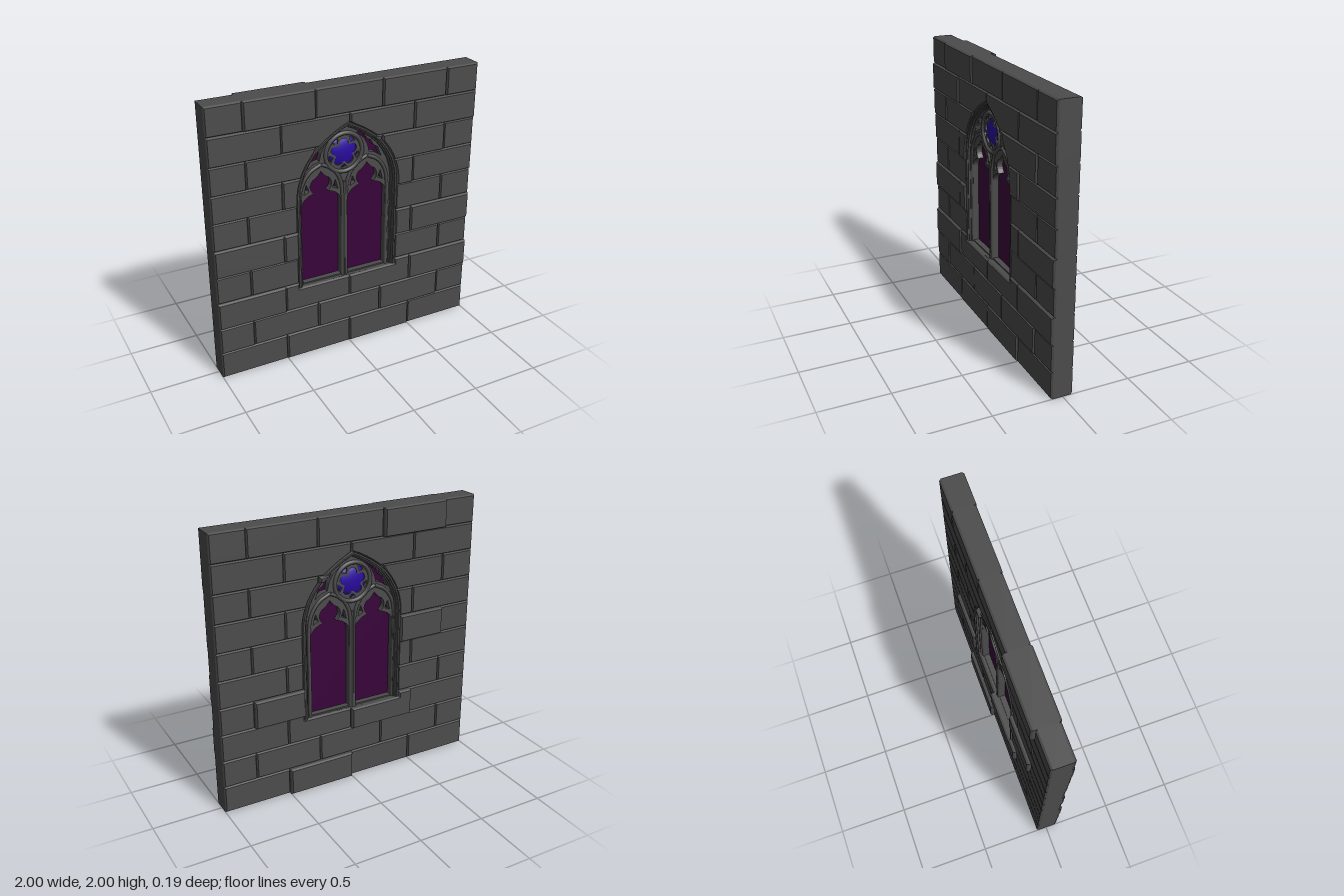
import * as THREE from 'three';

const CX = -0.01, SILL = 0.56, SPRING = 1.27, APEX = 1.735;
// half-width of the pointed arch at chosen heights
const ARCH = [[1.27, 0.385], [1.34, 0.375], [1.42, 0.35], [1.5, 0.306], [1.56, 0.26], [1.61, 0.206], [1.66, 0.138], [1.7, 0.07], [APEX, 0]];

function halfWidth(y) {
  if (y < SILL || y >= APEX) return 0;
  if (y <= SPRING) return ARCH[0][1];
  const i = ARCH.findIndex((p) => p[0] > y);
  const [y0, w0] = ARCH[i - 1], [y1, w1] = ARCH[i];
  return w0 + (w1 - w0) * (y - y0) / (y1 - y0);
}

// counter-clockwise outline of the arch, sill right -> apex -> sill left, shrunk by an inset
function archOutline(inset) {
  const kx = 1 - inset / 0.39, ky = 1 - inset / (APEX - SPRING);
  const right = ARCH.map(([y, w]) => new THREE.Vector2(CX + w * kx, SPRING + (y - SPRING) * ky));
  right.unshift(new THREE.Vector2(CX + ARCH[0][1] * kx, SILL));
  const left = right.slice(0, -1).map((p) => new THREE.Vector2(2 * CX - p.x, p.y));
  return [...right, ...left.reverse()];
}

function slab(shape, zBack, zFront, bevel = 0) {
  const geo = new THREE.ExtrudeGeometry(shape, {
    depth: zFront - zBack - 2 * bevel, curveSegments: 10, bevelEnabled: bevel > 0,
    bevelThickness: bevel, bevelSize: bevel * 0.6, bevelOffset: -bevel * 0.6, bevelSegments: 1,
  });
  return geo.translate(0, 0, zBack + bevel);
}

export function createModel() {
  const model = new THREE.Group();
  const mat = (name, color) => {
    const m = new THREE.MeshStandardMaterial({ color });
    m.name = name;
    return m;
  };
  const stone = mat('darkStone', 0x4c4c4c);
  const purple = mat('purpleGlass', 0x39033b);
  purple.side = THREE.DoubleSide;
  const blue = mat('blueGlass', 0x2a0b9e);
  const add = (parent, name, geo, material) => {
    const m = new THREE.Mesh(geo, material);
    m.name = name;
    parent.add(m);
    return m;
  };
  const V = (x, y) => new THREE.Vector2(x, y);

  // ---- Brick wall: full-thickness chamfered blocks, trimmed around the opening
  const wall = new THREE.Group();
  wall.name = 'brickWall';
  model.add(wall);
  const proudBack = ['0:0', '2:-0.5', '3:0.25', '5:-0.75', '7:-0.25', `7:${CX}`, '9:-0.75'];

  function brick(row, x0, x1) {
    const y0 = row * 0.2;
    const leftSide = (x0 + x1) / 2 < CX;
    const inset = row === 7 && Math.abs(x0 + x1) < 0.4 ? 0.03 : 0;
    let ys = [0, 1, 2, 3, 4, 5].map((i) => y0 + i * 0.04);
    if (row === 2) ys = [y0, SILL - 0.001, SILL + 0.001, y0 + 0.2];
    if (row === 8) ys = [y0, 1.64, 1.68, 1.71, APEX, 1.8];
    const fixed = [], cut = [];
    for (const y of ys) {
      const w = halfWidth(y) - inset;
      let edge = leftSide ? x1 : x0;
      if (w > 0) edge = leftSide ? Math.min(x1, CX - w) : Math.max(x0, CX + w);
      const width = leftSide ? edge - x0 : x1 - edge;
      if (width < 0.012) continue;
      fixed.push(V(leftSide ? x0 : x1, y));
      cut.push(V(edge, y));
    }
    if (cut.length < 2) return;
    const shape = new THREE.Shape([fixed[0], ...cut, ...fixed.slice(1).reverse()]);
    const front = row === 3 || row === 5 ? 0.08 : [0.086, 0.094, 0.09][(row * 2 + Math.round((x0 + 1) * 4)) % 3];
    const back = proudBack.includes(`${row}:${x0}`) ? -0.1 : -0.074;
    add(wall, 'brick', slab(shape, back, front, 0.014), stone);
  }
  for (let row = 0; row < 10; row++) {
    const joints = row % 2 ? [-1, -0.75, -0.25, 0.25, 0.75, 1] : [-1, -0.5, 0, 0.5, 1];
    if (row === 7) joints.splice(3, 0, CX);
    for (let i = 0; i < joints.length - 1; i++) {
      const a = joints[i], b = joints[i + 1];
      if (row > 2 && row < 7 && row % 2 && a === -0.25) continue; // inside the opening
      brick(row, a, b);
    }
  }
  // mortar core behind the joints
  const core = new THREE.Shape([V(-0.99, 0.01), V(0.99, 0.01), V(0.99, 1.99), V(-0.99, 1.99)]);
  core.holes.push(new THREE.Path(archOutline(0.012)));
  add(wall, 'mortarCore', slab(core, -0.058, 0.066), stone);

  // ---- Window
  const win = new THREE.Group();
  win.name = 'window';
  model.add(win);

  // stepped mouldings around the arch
  [[0, 0.017, 0.081], [0.013, 0.028, 0.072], [0.024, 0.038, 0.058]].forEach(([a, b, z]) => {
    const shape = new THREE.Shape([...archOutline(a), ...archOutline(b).reverse()]);
    add(win, 'archMoulding', slab(shape, -z, z, 0.004), stone);
  });

  // pierced tracery plate
  const tracery = new THREE.Shape(archOutline(0.01));
  const hole = (pts) => tracery.holes.push(new THREE.Path(pts));
  const lights = [-0.2, 0.152];
  const roseX = -0.025, roseY = 1.51;

  for (const c of lights) {
    // tall light with a foiled head
    const half = new THREE.Path();
    half.moveTo(-0.15, 0.57);
    half.lineTo(-0.15, 1.17);
    half.quadraticCurveTo(-0.135, 1.23, -0.055, 1.25);
    half.quadraticCurveTo(-0.105, 1.3, -0.06, 1.35);
    half.quadraticCurveTo(-0.03, 1.36, 0, 1.405);
    const pts = half.getPoints(8);
    hole([...pts.map((p) => V(c + p.x, p.y)), ...pts.slice(0, -1).reverse().map((p) => V(c - p.x, p.y))]);
    for (const s of [-1, 1]) {
      hole([[0.13, 1.25], [0.088, 1.27], [0.11, 1.325]].map(([x, y]) => V(c + s * x, y)));
    }
  }
  // side openings beside the rose
  const sidePts = [[0.285, 1.43], [0.23, 1.468], [0.19, 1.478], [0.178, 1.53], [0.15, 1.585], [0.09, 1.635], [0.1, 1.645], [0.155, 1.605], [0.175, 1.575], [0.205, 1.56], [0.225, 1.52], [0.258, 1.5]];
  for (const s of [-1, 1]) hole(sidePts.map(([x, y]) => V(-0.02 + s * x, y)));

  // five-lobed rose with small spandrel openings
  const rose = [];
  for (let k = 0; k < 5; k++) {
    const a = Math.PI / 2 + k * Math.PI * 0.4;
    for (let i = 0; i <= 12; i++) {
      const t = a - 2.25 + 4.5 * i / 12;
      rose.push(V(roseX + 0.066 * Math.cos(a) + 0.034 * Math.cos(t), roseY + 0.066 * Math.sin(a) + 0.034 * Math.sin(t)));
    }
    const b = a + Math.PI / 5;
    hole([[0.083, 0], [0.113, -0.24], [0.118, 0], [0.113, 0.24]].map(([r, d]) => V(roseX + r * Math.cos(b + d), roseY + r * Math.sin(b + d))));
  }
  hole(rose);
  add(win, 'tracery', slab(tracery, -0.042, 0.042), stone);

  // raised ribs on both faces
  for (const z of [-0.042, 0.042]) {
    for (const c of lights) {
      for (const s of [-1, 1]) {
        const curve = new THREE.CatmullRomCurve3(
          [[0.163, 0.56], [0.163, 0.9], [0.163, 1.2], [0.145, 1.32], [0.085, 1.41], [0, 1.455]].map(([x, y]) => new THREE.Vector3(c + s * x, y, z)));
        add(win, 'lightRib', new THREE.TubeGeometry(curve, 28, 0.013, 8), stone);
      }
    }
    add(win, 'roseRing', new THREE.TorusGeometry(0.138, 0.015, 8, 40), stone).position.set(roseX, roseY, z);
  }
  // mullion between the lights
  const mullion = add(win, 'mullion', new THREE.CylinderGeometry(0.018, 0.018, 0.74, 12), stone);
  mullion.scale.z = 3.3;
  mullion.position.set(-0.024, SILL + 0.37, 0);

  // glass
  add(win, 'purpleGlass', new THREE.ShapeGeometry(new THREE.Shape(archOutline(0.02))), purple);
  const lens = add(win, 'roseGlass', new THREE.SphereGeometry(0.125, 32, 20), blue);
  lens.scale.z = 0.4;
  lens.position.set(roseX, roseY, 0);

  return model;
}
